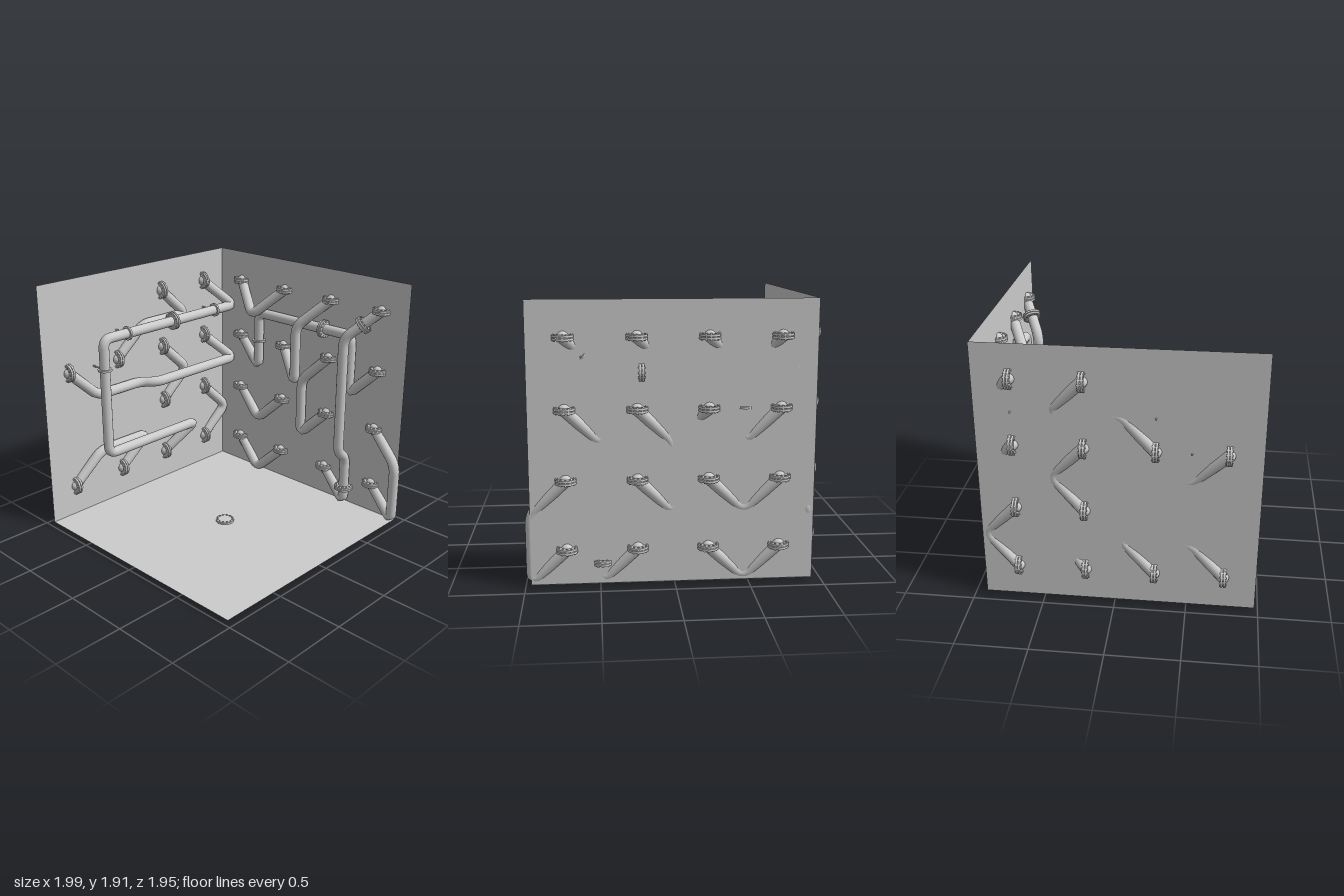
import * as THREE from 'three';

const PIPE_R = 0.04;
const mat = new THREE.MeshStandardMaterial({ color: 0xcccccc });
const wallMat = new THREE.MeshStandardMaterial({ color: 0xcccccc, side: THREE.DoubleSide });
const V = (x, y, z) => new THREE.Vector3(x, y, z);
const X = V(1, 0, 0), Y = V(0, 1, 0), Z = V(0, 0, 1);

function mesh(name, geometry, material = mat) {
  const m = new THREE.Mesh(geometry, material);
  m.name = name;
  return m;
}

// Polyline with rounded corners
function roundedPath(pts, trim = 0.07) {
  const path = new THREE.CurvePath();
  let from = pts[0];
  for (let i = 1; i < pts.length - 1; i++) {
    const p = pts[i];
    const t = Math.min(trim, p.distanceTo(pts[i - 1]) * 0.45, p.distanceTo(pts[i + 1]) * 0.45);
    const a = p.clone().add(pts[i - 1].clone().sub(p).setLength(t));
    const b = p.clone().add(pts[i + 1].clone().sub(p).setLength(t));
    path.add(new THREE.LineCurve3(from, a));
    path.add(new THREE.QuadraticBezierCurve3(a, p, b));
    from = b;
  }
  path.add(new THREE.LineCurve3(from, pts[pts.length - 1]));
  return path;
}

// Pair of bolted plates, axis along the given direction
function flange(name, center, axis) {
  const g = new THREE.Group();
  g.name = name;
  for (const s of [-1, 1]) {
    const plate = mesh('flangePlate', new THREE.CylinderGeometry(0.07, 0.07, 0.015, 32));
    plate.position.y = s * 0.01;
    g.add(plate);
  }
  for (let i = 0; i < 12; i++) {
    const a = (i / 12) * Math.PI * 2;
    const bolt = mesh('bolt', new THREE.CylinderGeometry(0.007, 0.007, 0.048, 6));
    bolt.position.set(Math.cos(a) * 0.059, 0, Math.sin(a) * 0.059);
    g.add(bolt);
  }
  g.position.copy(center);
  g.quaternion.setFromUnitVectors(Y, axis.clone().normalize());
  return g;
}

// Thin collar round a pipe, with a rod reaching the wall
function clamp(center, axis, wallPoint) {
  const g = new THREE.Group();
  g.name = 'pipeClamp';
  const ring = mesh('clampRing', new THREE.CylinderGeometry(0.055, 0.055, 0.016, 32));
  ring.position.copy(center);
  ring.quaternion.setFromUnitVectors(Y, axis);
  const rod = mesh('clampRod', new THREE.CylinderGeometry(0.007, 0.007, center.distanceTo(wallPoint), 8));
  rod.position.copy(center).lerp(wallPoint, 0.5);
  rod.quaternion.setFromUnitVectors(Y, wallPoint.clone().sub(center).normalize());
  g.add(ring, rod);
  return g;
}

// Pipe run with a domed end and a flange at both wall openings
function pipe(name, pts, flangeAxis) {
  const g = new THREE.Group();
  g.name = name;
  const path = roundedPath(pts);
  const segments = Math.ceil(path.getLength() / 0.02);
  g.add(mesh('pipeTube', new THREE.TubeGeometry(path, segments, PIPE_R, 16, false)));
  for (const end of [pts[0], pts[pts.length - 1]]) {
    const dome = mesh('pipeEnd', new THREE.SphereGeometry(PIPE_R, 16, 12));
    dome.position.copy(end);
    g.add(dome, flange('wallFlange', end, flangeAxis));
  }
  return g;
}

export function createModel() {
  const root = new THREE.Group();
  root.name = 'pipeRoom';

  // Floor and two walls
  const size = 1.89, xW = -0.93, zW = -0.91, cx = 0.015, cy = 0.975, cz = 0.03;
  const panel = (name, x, y, z, rx, ry) => {
    const p = mesh(name, new THREE.PlaneGeometry(size, size), wallMat);
    p.position.set(x, y, z);
    p.rotation.set(rx, ry, 0);
    root.add(p);
  };
  panel('floor', cx, 0.03, cz, -Math.PI / 2, 0);
  panel('backWall', cx, cy, zW, 0, 0);
  panel('sideWall', xW, cy, cz, 0, Math.PI / 2);
  root.add(flange('floorFlange', V(cx, 0.03, cz), Y));

  // Openings sit on a 4 x 4 grid; bends sit half a cell below or beside them
  const rows = [1.68, 1.21, 0.74, 0.27], mids = [1.45, 0.98, 0.51, 0.04];
  const bx = [-0.695, -0.22, 0.25, 0.72], bm = [-0.46, 0.015, 0.485, 0.955];
  const sz = [0.75, 0.275, -0.2, -0.67], sm = [0.51, 0.035, -0.43, -0.9];
  const near = -0.87, far = -0.775, sNear = -0.89, sFar = -0.79;
  const bo = (c, r) => V(bx[c], rows[r], zW);
  const bb = (c, r, z = near) => V(bm[c], mids[r], z);
  const so = (c, r) => V(xW, rows[r], sz[c]);
  const sb = (c, r, x = sNear) => V(x, mids[r], sm[c]);

  // Back wall pipes
  const backPipes = [
    [bo(0, 0), bb(0, 0, far), bo(1, 0)],
    [bo(0, 2), bb(0, 2), bo(1, 2)],
    [bo(0, 3), bb(0, 3), bo(1, 3)],
    [bo(0, 1), bb(0, 1), bb(0, 0), bb(2, 0), bb(2, 1), bo(3, 1)],
    [bo(2, 0), bb(1, 0, far), bb(1, 1, far), bo(1, 1)],
    [bo(2, 1), bb(1, 1), bb(1, 2), bo(2, 2)],
    [bo(3, 0), bb(2, 0, far), V(bm[2], 0.51, far), V(bm[2], 0.43, near), bb(2, 3), bo(2, 3)],
    [bo(3, 2), bb(3, 2), bb(3, 3), bo(3, 3)],
  ];
  backPipes.forEach((p) => root.add(pipe('backWallPipe', p, Y)));

  // Side wall pipes
  const sidePipes = [
    [so(3, 0), sb(3, 0, sFar), sb(0, 0, sFar), sb(0, 2, sFar), sb(2, 2, sFar), so(2, 3)],
    [so(2, 0), sb(2, 0), sb(1, 0), so(1, 1)],
    [so(2, 1), sb(2, 1), so(2, 2)],
    [so(0, 1), sb(0, 1), V(sNear, mids[1], 0.09), V(sFar, mids[1], -0.01), sb(3, 1, sFar), so(3, 1)],
    [so(0, 3), sb(0, 2), sb(1, 2), so(1, 3)],
    [so(3, 2), sb(3, 2), so(3, 3)],
  ];
  sidePipes.forEach((p) => root.add(pipe('sideWallPipe', p, Z)));

  // Couplings along the runs
  root.add(
    flange('pipeCoupling', V(0.22, mids[0], near), X),
    flange('pipeCoupling', V(bm[2], 0.17, near), Y),
    flange('pipeCoupling', V(0.605, 1.565, -0.845), bo(3, 0).sub(bb(2, 0, far))),
    flange('pipeCoupling', V(sFar, mids[0], sz[2]), Z)
  );

  // Clamps fixed to the walls
  for (const z of [sz[1], sz[3]]) root.add(clamp(V(sFar, mids[0], z), Z, V(-0.945, mids[0], z)));
  root.add(clamp(V(sFar, rows[1], sm[0]), Y, V(-0.945, rows[1], sm[0])));
  root.add(clamp(V(bm[0], rows[1], near), Y, V(bm[0], rows[1], -0.925)));
  return root;
}
